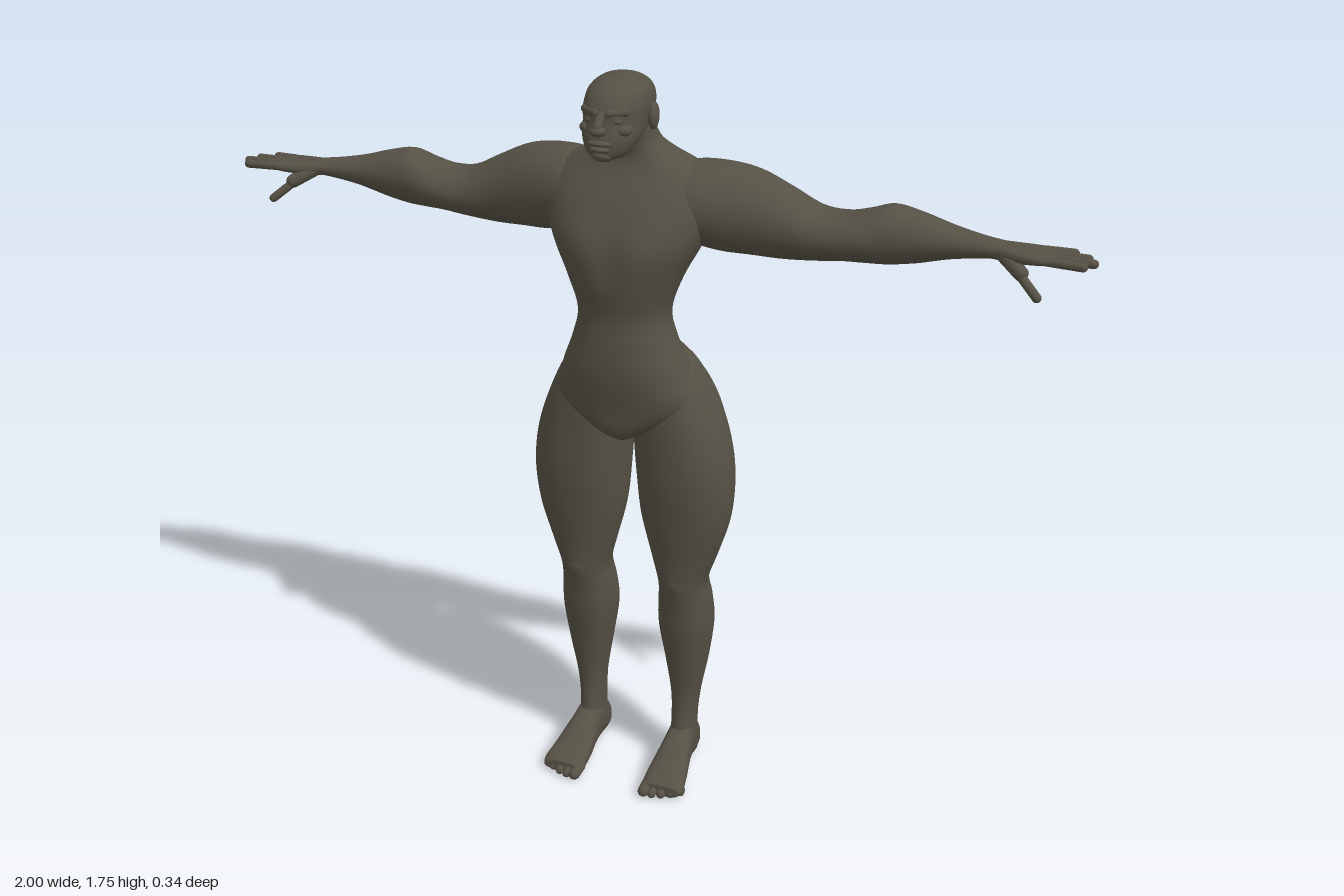
import * as THREE from 'three';

const skin = new THREE.MeshStandardMaterial({ color: 0x565145 });
skin.name = 'dark olive skin';

// Smooth skin along an axis. Each row is [t, u0, u1, v0, v1]: the position on the axis
// and the extents on the next two axes in cyclic order (y -> z, x; x -> y, z; z -> x, y).
function loft(axis, rows, { power = 2.2, sides = 32, steps = 5, deform } = {}) {
  const pos = [], index = [], rings = (rows.length - 1) * steps + 1;
  const spline = (a, b, c, d, f) =>
    b + 0.5 * f * (c - a + f * (2 * a - 5 * b + 4 * c - d + f * (3 * (b - c) + d - a)));
  const point = (t, u, v) => {
    const p = [0, 0, 0];
    p[axis] = t; p[(axis + 1) % 3] = u; p[(axis + 2) % 3] = v;
    if (deform) deform(p);
    pos.push(...p);
  };
  const at = (r) => {
    const i = Math.min(Math.floor(r / steps), rows.length - 2), f = r / steps - i;
    const row = (k) => rows[Math.max(0, Math.min(rows.length - 1, k))];
    return rows[0].map((_, k) => spline(row(i - 1)[k], row(i)[k], row(i + 1)[k], row(i + 2)[k], f));
  };
  const curve = (c) => Math.sign(c) * Math.pow(Math.abs(c), 2 / power);
  for (let r = 0; r < rings; r++) {
    const [t, u0, u1, v0, v1] = at(r);
    for (let j = 0; j < sides; j++) {
      const a = (j / sides) * Math.PI * 2;
      point(t, (u0 + u1) / 2 + curve(Math.cos(a)) * (u1 - u0) / 2,
        (v0 + v1) / 2 + curve(Math.sin(a)) * (v1 - v0) / 2);
    }
  }
  for (let r = 0; r < rings - 1; r++) for (let j = 0; j < sides; j++) {
    const a = r * sides + j, b = r * sides + (j + 1) % sides;
    index.push(a, b, a + sides, b, b + sides, a + sides);
  }
  // Close both ends
  for (const r of [0, rings - 1]) {
    const [t, u0, u1, v0, v1] = at(r), c = pos.length / 3;
    point(t, (u0 + u1) / 2, (v0 + v1) / 2);
    for (let j = 0; j < sides; j++) {
      const a = r * sides + j, b = r * sides + (j + 1) % sides;
      index.push(...(r ? [c, a, b] : [c, b, a]));
    }
  }
  const g = new THREE.BufferGeometry();
  g.setAttribute('position', new THREE.Float32BufferAttribute(pos, 3));
  g.setIndex(index);
  g.computeVertexNormals();
  return g;
}

// Rounded rod between two points
function rod(from, to, radius) {
  const a = new THREE.Vector3(...from), b = new THREE.Vector3(...to), d = b.clone().sub(a);
  const g = new THREE.CapsuleGeometry(radius, Math.max(0.001, d.length() - radius), 5, 12);
  g.applyQuaternion(new THREE.Quaternion().setFromUnitVectors(new THREE.Vector3(0, 1, 0), d.normalize()));
  const m = a.add(b).multiplyScalar(0.5);
  return g.translate(m.x, m.y, m.z);
}

function ball(x, y, z, rx, ry, rz) {
  return new THREE.SphereGeometry(1, 20, 14).scale(rx, ry, rz).translate(x, y, z);
}

function mirrored(geometry) {
  const g = geometry.clone().scale(-1, 1, 1), i = g.index;
  for (let k = 0; k < i.count; k += 3) {
    const a = i.getX(k);
    i.setX(k, i.getX(k + 2));
    i.setX(k + 2, a);
  }
  g.computeVertexNormals();
  return g;
}

export function createModel() {
  const model = new THREE.Group();
  model.name = 'standingFigure';
  const add = (name, geometry) => {
    const mesh = new THREE.Mesh(geometry, skin);
    mesh.name = name;
    model.add(mesh);
  };
  const pair = (name, geometry) => {
    add(name + 'Left', geometry);
    add(name + 'Right', mirrored(geometry));
  };
  const even = (rows) => rows.map(([t, u0, u1, w]) => [t, u0, u1, -w, w]);

  // Torso and neck, with a spine groove and a line between the chest muscles
  add('torso', loft(1, even([
    [0.91, -0.06, 0.04, 0.025], [0.94, -0.1, 0.075, 0.08], [1.0, -0.125, 0.085, 0.165],
    [1.08, -0.115, 0.098, 0.148], [1.15, -0.095, 0.098, 0.12], [1.22, -0.087, 0.095, 0.105],
    [1.3, -0.11, 0.11, 0.13], [1.38, -0.145, 0.113, 0.17], [1.45, -0.16, 0.085, 0.195],
    [1.5, -0.158, 0.058, 0.19], [1.54, -0.138, 0.035, 0.155], [1.57, -0.113, 0.028, 0.1],
    [1.6, -0.088, 0.035, 0.066], [1.65, -0.06, 0.05, 0.055],
  ]), {
    sides: 48,
    deform: (p) => {
      const groove = Math.exp(-((p[0] / 0.03) ** 2));
      if (p[2] < -0.03) p[2] += 0.02 * groove * Math.exp(-(((p[1] - 1.32) / 0.16) ** 2));
      else if (p[2] > 0.03) p[2] -= 0.01 * groove * Math.exp(-(((p[1] - 1.38) / 0.07) ** 2));
    },
  }));

  // Legs, from the ankle up into the hip
  pair('leg', loft(1, [
    [0.03, -0.135, -0.03, 0.092, 0.155], [0.12, -0.135, -0.042, 0.093, 0.152],
    [0.2, -0.135, -0.045, 0.09, 0.16], [0.3, -0.15, -0.03, 0.075, 0.178],
    [0.4, -0.16, -0.01, 0.06, 0.19], [0.47, -0.15, 0, 0.063, 0.187],
    [0.53, -0.135, 0.014, 0.068, 0.182], [0.6, -0.135, 0.02, 0.05, 0.205],
    [0.7, -0.148, 0.035, 0.025, 0.235], [0.8, -0.157, 0.047, 0.015, 0.243],
    [0.9, -0.158, 0.05, 0.008, 0.23], [1.0, -0.157, 0.05, 0.005, 0.195],
    [1.08, -0.125, 0.04, 0.015, 0.152], [1.13, -0.09, 0.0, 0.05, 0.1],
  ]));
  pair('kneecap', ball(0.125, 0.545, -0.005, 0.032, 0.04, 0.022));

  // Feet and toes
  pair('foot', loft(2, [
    [-0.145, 0.105, 0.135, 0.02, 0.05], [-0.13, 0.093, 0.15, 0.004, 0.09],
    [-0.08, 0.09, 0.155, 0.004, 0.12], [-0.03, 0.087, 0.162, 0.006, 0.1],
    [0.03, 0.08, 0.175, 0.003, 0.065], [0.08, 0.079, 0.183, 0.002, 0.042],
    [0.1, 0.085, 0.178, 0.006, 0.034],
  ], { power: 2.5, sides: 24 }));
  for (let i = 0; i < 5; i++) {
    const x = 0.091 + i * 0.021, r = i ? 0.0105 : 0.014;
    pair('toe' + (i + 1), rod([x, 0.02, 0.07], [x + 0.001, r + 0.001, 0.118 - i * i * 0.0022], r));
  }

  // Arms, from inside the chest out to the wrist
  pair('arm', loft(0, [
    [0.06, 1.4, 1.52, -0.14, 0.02], [0.13, 1.375, 1.55, -0.16, 0.035],
    [0.2, 1.357, 1.553, -0.166, 0.022], [0.27, 1.352, 1.54, -0.166, 0.003],
    [0.34, 1.35, 1.508, -0.165, -0.01], [0.41, 1.356, 1.474, -0.163, -0.013],
    [0.47, 1.364, 1.47, -0.158, -0.013], [0.52, 1.366, 1.482, -0.155, -0.015],
    [0.57, 1.367, 1.496, -0.152, -0.024], [0.63, 1.377, 1.485, -0.143, -0.034],
    [0.7, 1.396, 1.466, -0.128, -0.042], [0.77, 1.41, 1.455, -0.106, -0.042],
    [0.82, 1.416, 1.45, -0.1, -0.035],
  ], { power: 2 }));

  // Hands: flat palm, four spread fingers and a thumb pointing down and forward
  pair('palm', loft(0, [
    [0.79, 1.414, 1.45, -0.098, -0.042], [0.83, 1.414, 1.449, -0.105, -0.026],
    [0.87, 1.417, 1.447, -0.111, -0.017], [0.905, 1.421, 1.444, -0.111, -0.018],
    [0.915, 1.425, 1.44, -0.105, -0.025],
  ], { power: 2.5, sides: 20 }));
  [[-0.1, -0.108, 0.95], [-0.077, -0.081, 0.982], [-0.053, -0.053, 0.997], [-0.03, -0.025, 0.98]]
    .forEach(([z0, z1, x], i) => pair('finger' + (i + 1), rod([0.885, 1.433, z0], [x, 1.431, z1], 0.0098)));
  pair('thumbBase', rod([0.805, 1.432, -0.055], [0.86, 1.4, -0.018], 0.016));
  pair('thumb', rod([0.845, 1.407, -0.025], [0.898, 1.362, 0.006], 0.01));

  // Bald head
  add('head', loft(1, even([
    [1.583, 0.06, 0.12, 0.02], [1.595, 0.035, 0.14, 0.043], [1.625, -0.005, 0.145, 0.06],
    [1.66, -0.055, 0.137, 0.067], [1.69, -0.07, 0.133, 0.069], [1.72, -0.057, 0.113, 0.062],
    [1.74, -0.024, 0.08, 0.041], [1.748, 0.01, 0.045, 0.012],
  ])));

  // Face
  add('noseBridge', rod([0, 1.685, 0.13], [0, 1.657, 0.157], 0.01));
  add('noseTip', ball(0, 1.652, 0.153, 0.018, 0.011, 0.016));
  add('upperLip', ball(0, 1.624, 0.141, 0.027, 0.007, 0.014));
  add('lowerLip', ball(0, 1.611, 0.14, 0.023, 0.007, 0.014));
  add('chin', ball(0, 1.596, 0.126, 0.025, 0.014, 0.02));
  pair('brow', rod([0.01, 1.684, 0.131], [0.05, 1.686, 0.106], 0.009));
  pair('eye', ball(0.029, 1.668, 0.121, 0.013, 0.007, 0.01));
  pair('cheek', ball(0.038, 1.648, 0.108, 0.02, 0.014, 0.02));
  pair('ear', ball(0.073, 1.663, 0.025, 0.012, 0.03, 0.018).rotateY(0));

  return model;
}
